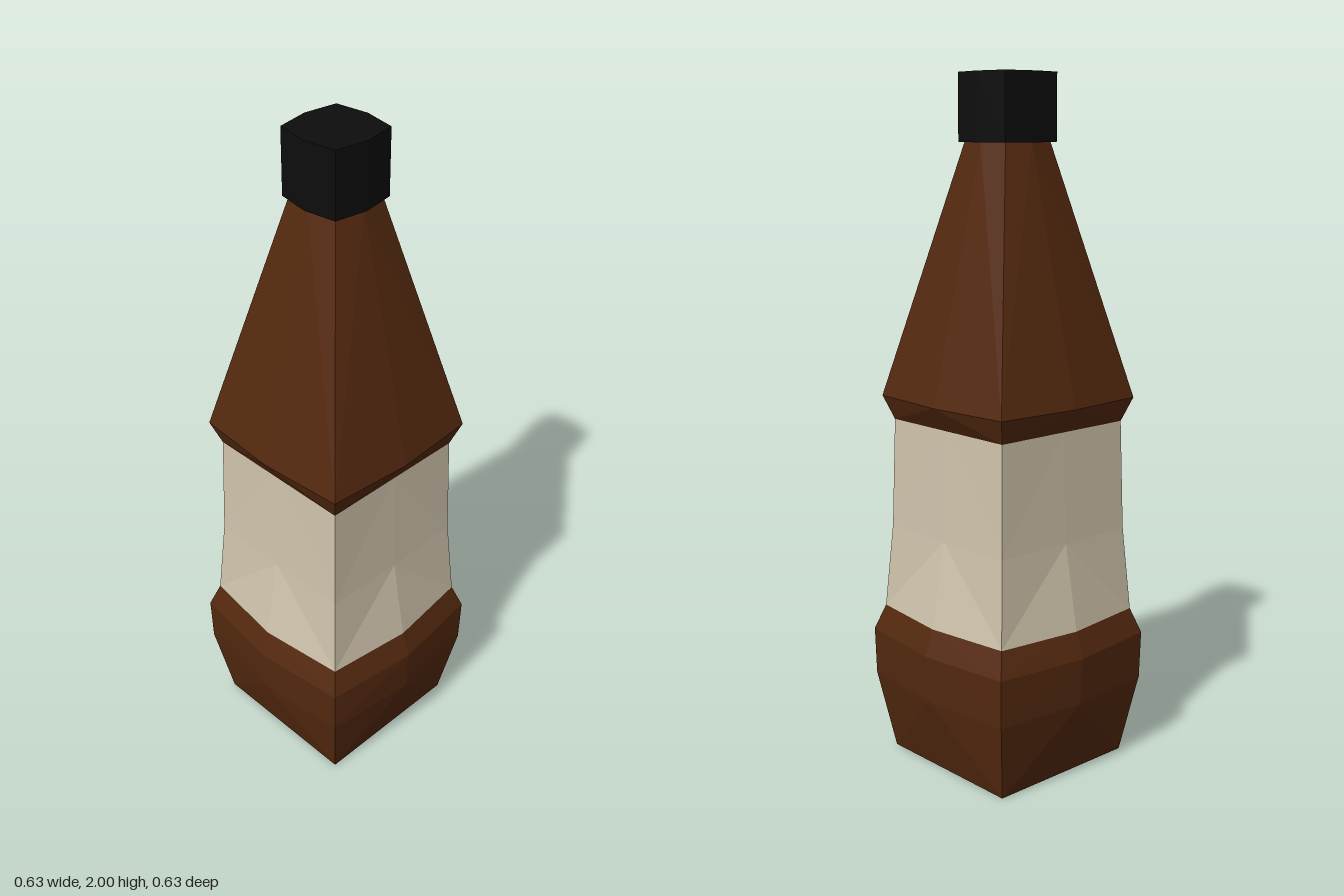
import * as THREE from 'three';

// Eight-point ring: four corners at (c, c) and four side midpoints pushed out to m
function ring([y, c, m]) {
  return Array.from({ length: 8 }, (_, i) => {
    const a = (i * Math.PI) / 4;
    const r = i % 2 ? c * Math.SQRT2 : m;
    return [r * Math.sin(a), y, r * Math.cos(a)];
  });
}

// Skins a stack of [height, corner, midpoint] sections, optionally closing the ends
function loft(name, color, sections, { bottom = false, top = false } = {}) {
  const rings = sections.map(ring);
  const pos = [];
  const tri = (a, b, c) => pos.push(...a, ...b, ...c);
  for (let k = 0; k < rings.length - 1; k++) {
    const lo = rings[k], hi = rings[k + 1];
    for (let i = 0; i < 8; i++) {
      const j = (i + 1) % 8;
      // mirror the diagonal so both halves of a side match
      if (i % 2) {
        tri(lo[i], lo[j], hi[j]);
        tri(lo[i], hi[j], hi[i]);
      } else {
        tri(lo[i], lo[j], hi[i]);
        tri(lo[j], hi[j], hi[i]);
      }
    }
  }
  const first = rings[0], last = rings[rings.length - 1];
  for (let i = 0; i < 8; i++) {
    const j = (i + 1) % 8;
    if (bottom) tri([0, first[0][1], 0], first[j], first[i]);
    if (top) tri([0, last[0][1], 0], last[i], last[j]);
  }
  const geometry = new THREE.BufferGeometry();
  geometry.setAttribute('position', new THREE.Float32BufferAttribute(pos, 3));
  geometry.computeVertexNormals();
  const mesh = new THREE.Mesh(geometry, new THREE.MeshStandardMaterial({ color, flatShading: true }));
  mesh.name = name;
  return mesh;
}

export function createModel() {
  const bottle = new THREE.Group();
  bottle.name = 'bottle';
  const glass = 0x54290f, paper = 0xcfc3ac, black = 0x0d0d0d;

  // Bulging base
  bottle.add(loft('base', glass, [
    [0, 0.24, 0.24], [0.235, 0.28, 0.308], [0.375, 0.283, 0.317], [0.45, 0.258, 0.29],
  ], { bottom: true }));

  // Wrapped label around the waist
  bottle.add(loft('label', paper, [
    [0.45, 0.258, 0.29], [0.7, 0.24, 0.245], [1.02, 0.232, 0.232],
  ]));

  // Shoulder lip and tapering neck
  bottle.add(loft('neck', glass, [
    [1.02, 0.232, 0.232], [1.09, 0.257, 0.276], [1.81, 0.085, 0.1],
  ]));

  // Screw cap
  bottle.add(loft('cap', black, [
    [1.81, 0.097, 0.113], [2, 0.097, 0.113],
  ], { bottom: true, top: true }));

  return bottle;
}
